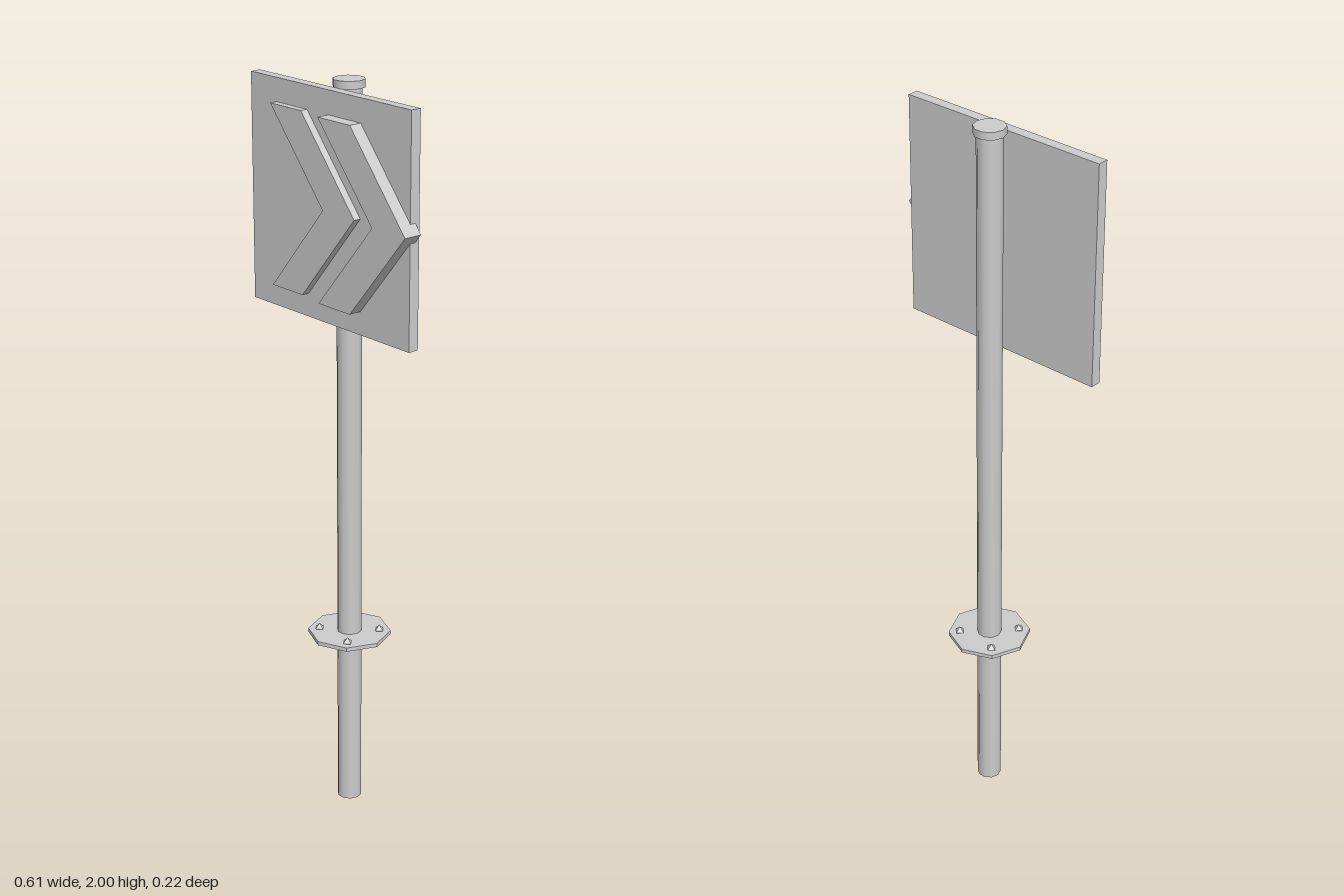
import * as THREE from 'three';

export function createModel() {
  const model = new THREE.Group();
  model.name = 'chevronRoadSign';

  const grey = new THREE.MeshStandardMaterial({ color: 0xcccccc, side: THREE.DoubleSide });
  grey.name = 'light grey';

  const AXIS_X = -0.01; // the post stands slightly off centre

  function add(name, geometry, x, y, z) {
    const mesh = new THREE.Mesh(geometry, grey);
    mesh.name = name;
    mesh.position.set(x, y, z);
    model.add(mesh);
    return mesh;
  }

  // Upright disc or tube with a corner pointing along +x
  function cylinder(name, radius, bottom, top, sides, open = false) {
    const geometry = new THREE.CylinderGeometry(radius, radius, top - bottom, sides, 1, open);
    geometry.rotateY(Math.PI / 2);
    return add(name, geometry, AXIS_X, (bottom + top) / 2, 0);
  }

  // Hollow post, its cap and the base flange
  cylinder('post', 0.033, 0, 1.985, 10, true);
  cylinder('postCap', 0.041, 1.98, 2, 10);
  cylinder('flange', 0.111, 0.498, 0.509, 8).geometry = new THREE.CylinderGeometry(0.111, 0.111, 0.011, 8).toNonIndexed();
  model.getObjectByName('flange').geometry.computeVertexNormals();

  // Four faceted bolts on the flange
  for (const sx of [-1, 1]) {
    for (const sz of [-1, 1]) {
      add('bolt', new THREE.OctahedronGeometry(0.014), AXIS_X + sx * 0.057, 0.511, sz * 0.057);
    }
  }

  // Square sign board in front of the post
  add('signBoard', new THREE.BoxGeometry(0.592, 0.592, 0.029), -0.011, 1.685, 0.0525);

  // Two raised chevrons pointing to +x, the second standing further out
  const outline = [[-0.198, 0.235], [-0.08, 0.235], [0.117, 0], [-0.08, -0.235], [-0.198, -0.235], [0, 0]];
  const shape = new THREE.Shape(outline.map(([x, y]) => new THREE.Vector2(x, y)));
  [[-0.01, 0.041, 0.087], [0.188, 0.051, 0.102]].forEach(([x, back, front], i) => {
    const geometry = new THREE.ExtrudeGeometry(shape, { depth: front - back, bevelEnabled: false });
    add(i ? 'outerChevron' : 'innerChevron', geometry, x, 1.685, back);
  });

  return model;
}
